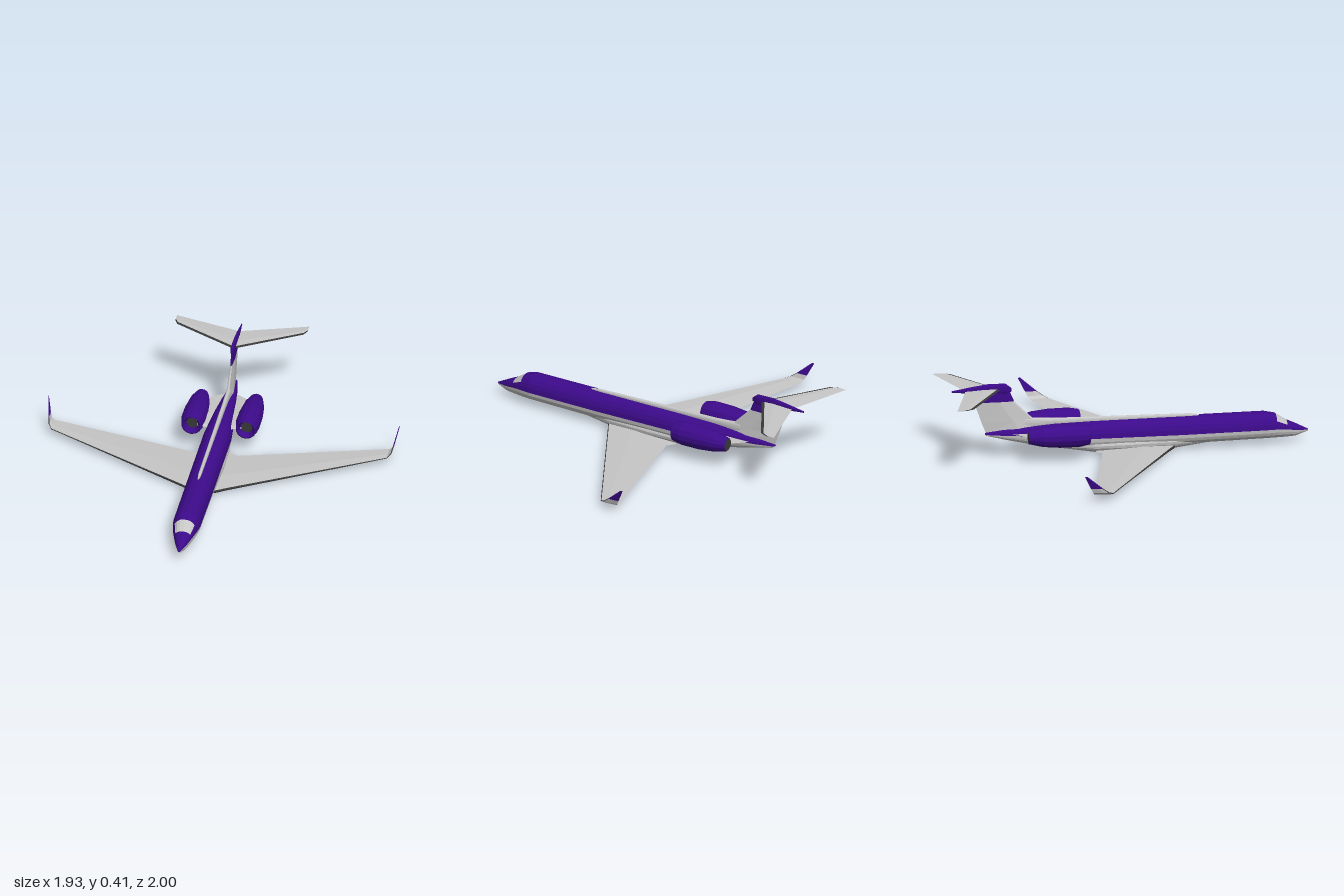
import * as THREE from 'three';

const mat = (name, color) => Object.assign(new THREE.MeshStandardMaterial({ color }), { name });

export function createModel() {
  const group = new THREE.Group();
  const purple = mat('purple paint', 0x3c0a8a);
  const light = mat('light grey paint', 0xc6c6c6);
  const dark = mat('dark grey trim', 0x383838);
  const mats = [purple, light, dark];

  const add = (name, geometry, material) => {
    const mesh = new THREE.Mesh(geometry, material);
    mesh.name = name;
    group.add(mesh);
    return mesh;
  };

  // Faceted skin over closed rings, capped at both ends; pick(i, j) gives the colour index
  function loft(name, rings, pick) {
    const buckets = mats.map(() => []);
    const n = rings[0].length;
    const put = (m, ...pts) => buckets[m].push(pts);
    for (let i = 0; i < rings.length - 1; i++) {
      for (let j = 0; j < n; j++) {
        const k = (j + 1) % n, m = pick(i, j);
        put(m, rings[i][j], rings[i][k], rings[i + 1][k]);
        put(m, rings[i][j], rings[i + 1][k], rings[i + 1][j]);
      }
    }
    for (const i of [0, rings.length - 1]) {
      const c = rings[i].reduce((s, p) => s.add(p), new THREE.Vector3()).divideScalar(n);
      for (let j = 0; j < n; j++) {
        const a = rings[i][j], b = rings[i][(j + 1) % n];
        const m = pick(Math.min(i, rings.length - 2), j);
        if (i === 0) put(m, c, b, a); else put(m, c, a, b);
      }
    }
    // Turn the skin outwards if its enclosed volume is negative
    let volume = 0;
    const cross = new THREE.Vector3();
    buckets.flat().forEach(([a, b, c]) => { volume += a.dot(cross.crossVectors(b, c)); });
    const pos = [];
    const geometry = new THREE.BufferGeometry();
    buckets.forEach((tris, m) => {
      if (!tris.length) return;
      geometry.addGroup(pos.length / 3, tris.length * 3, m);
      tris.forEach(([a, b, c]) => {
        for (const p of volume < 0 ? [a, c, b] : [a, b, c]) pos.push(p.x, p.y, p.z);
      });
    });
    geometry.setAttribute('position', new THREE.Float32BufferAttribute(pos, 3));
    geometry.computeVertexNormals();
    return add(name, geometry, mats);
  }

  // Body ring: z, half width, bottom, waist and top heights; points 0-9 lie above the waist
  const bodyRing = ([z, w, bottom, waist, top]) => Array.from({ length: 20 }, (_, k) => {
    const a = (k / 20) * Math.PI * 2, c = Math.cos(a), s = Math.sin(a);
    return new THREE.Vector3(w * Math.sign(c) * Math.abs(c) ** 0.8,
      waist + s * (s > 0 ? top - waist : waist - bottom), z);
  });

  // Aerofoil ring: position x, y, leading and trailing z, half thickness, thickness direction
  const foilRing = (strip) => ([x, y, le, te, t, nx = 0, ny = 1]) => {
    const at = (z, h) => new THREE.Vector3(x + nx * h, y + ny * h, z);
    const edge = le - strip, mid = le + (te - le) * 0.4;
    return [at(le, 0), at(edge, t * 0.6), at(mid, t), at(te, 0), at(mid, -t), at(edge, -t * 0.6)];
  };
  const mirrored = (list) => [
    ...list.filter((s) => s[0] > 0).reverse().map(([x, y, a, b, t, nx = 0, ny = 1]) => [-x, y, a, b, t, -nx, ny]),
    ...list,
  ];
  const leading = (j) => j === 0 || j === 5;

  // Fuselage: purple above the waist, grey below, with the windscreen on the nose
  loft('fuselage', [
    [1.0, 0.004, 0.055, 0.06, 0.065],
    [0.93, 0.032, 0.032, 0.07, 0.1],
    [0.88, 0.048, 0.03, 0.08, 0.122],
    [0.82, 0.065, 0.03, 0.088, 0.162],
    [0.76, 0.075, 0.03, 0.09, 0.175],
    [0.3, 0.077, 0.025, 0.09, 0.176],
    [-0.2, 0.077, 0.025, 0.095, 0.178],
    [-0.4, 0.06, 0.045, 0.11, 0.175],
    [-0.55, 0.043, 0.07, 0.12, 0.165],
    [-0.68, 0.025, 0.1, 0.125, 0.155],
    [-0.775, 0.008, 0.125, 0.13, 0.14],
  ].map(bodyRing), (i, j) => (j > 9 || (i === 2 && j > 1 && j < 8) ? 1 : 0));

  // Fairing under the wing roots
  loft('bellyFairing', [
    [0.5, 0.03, 0.03, 0.05, 0.06],
    [0.26, 0.068, 0.004, 0.05, 0.08],
    [0.0, 0.076, 0.0, 0.05, 0.08],
    [-0.18, 0.072, 0.006, 0.05, 0.08],
    [-0.4, 0.035, 0.042, 0.06, 0.08],
  ].map(bodyRing), () => 1);

  // Narrow spine along the roof
  loft('dorsalSpine', [
    [0.4, 0.004, 0.165, 0.172, 0.18],
    [0.35, 0.009, 0.165, 0.178, 0.188],
    [-0.4, 0.012, 0.16, 0.185, 0.204],
    [-0.56, 0.014, 0.15, 0.185, 0.215],
  ].map(bodyRing), () => 1);

  // Full-span wing with purple upturned tips
  const wing = mirrored([
    [0, 0.022, 0.29, -0.19, 0.014],
    [0.08, 0.022, 0.245, -0.18, 0.013],
    [0.12, 0.024, 0.221, -0.155, 0.012],
    [0.92, 0.036, -0.245, -0.352, 0.004],
    [0.938, 0.05, -0.275, -0.362, 0.004, -0.8, 0.6],
    [0.945, 0.075, -0.31, -0.375, 0.003, -1, 0.2],
    [0.962, 0.15, -0.398, -0.412, 0.002, -1, 0.2],
  ]);
  loft('wing', wing.map(foilRing(0.005)), (i, j) => {
    if (i === 0 || i === wing.length - 2) return 0;
    return leading(j) ? 2 : 1;
  });

  // Fin, purple near its top
  loft('fin', [
    [0, 0.135, -0.46, -0.772, 0.02, 1, 0],
    [0, 0.2, -0.505, -0.797, 0.014, 1, 0],
    [0, 0.31, -0.617, -0.836, 0.008, 1, 0],
    [0, 0.375, -0.645, -0.855, 0.008, 1, 0],
  ].map(foilRing(0.01)), (i) => (i === 2 ? 0 : 1));

  // Bullet where fin and tailplane meet
  loft('tailBullet', [
    [-0.632, 0.002, 0.365, 0.375, 0.385],
    [-0.665, 0.011, 0.352, 0.38, 0.412],
    [-0.76, 0.011, 0.358, 0.38, 0.414],
    [-0.85, 0.009, 0.365, 0.382, 0.402],
    [-0.96, 0.002, 0.376, 0.38, 0.385],
  ].map(bodyRing), () => 0);

  // Tailplane with dark leading edges
  loft('tailplane', mirrored([
    [0, 0.379, -0.69, -0.885, 0.007],
    [0.345, 0.379, -0.905, -0.993, 0.004],
    [0.362, 0.379, -0.94, -1.0, 0.002],
  ]).map(foilRing(0.017)), (i, j) => (leading(j) ? 2 : 1));

  // Engines on short pylons
  const nacelle = new THREE.LatheGeometry([
    [0.036, -0.57], [0.056, -0.49], [0.065, -0.4], [0.066, -0.29],
    [0.056, -0.235], [0.049, -0.23], [0.034, -0.255], [0.032, -0.27],
  ].map(([r, y]) => new THREE.Vector2(r, y)), 14).toNonIndexed();
  nacelle.computeVertexNormals();
  const disc = new THREE.CircleGeometry(0.036, 14);
  for (const [side, s] of [['left', 1], ['right', -1]]) {
    const x = s * 0.149, y = 0.145;
    const shell = add(side + 'Nacelle', nacelle, purple);
    shell.position.set(x, y, 0);
    shell.rotation.x = Math.PI / 2;
    add(side + 'Intake', disc, dark).position.set(x, y, -0.265);
    const exhaust = add(side + 'Exhaust', disc, dark);
    exhaust.position.set(x, y, -0.565);
    exhaust.rotation.y = Math.PI;
    loft(side + 'Pylon', [
      [s * 0.02, 0.13, -0.24, -0.64, 0.01],
      [s * 0.12, 0.138, -0.25, -0.56, 0.01],
    ].map(foilRing(0.02)), () => 1);
  }

  return group;
}
